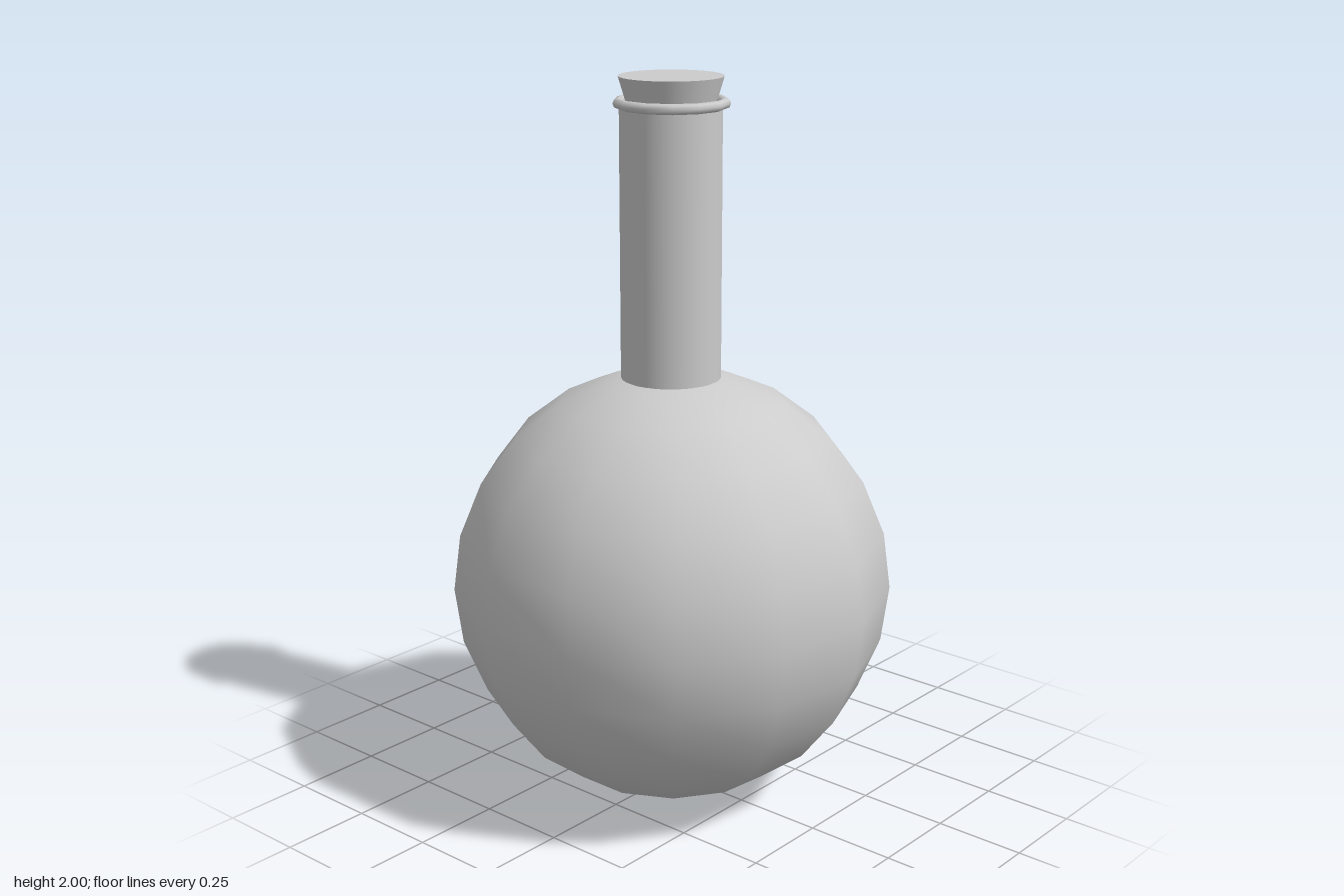
import * as THREE from 'three';

export function createModel() {
  const group = new THREE.Group();
  group.name = 'roundFlask';
  const grey = new THREE.MeshStandardMaterial({ color: 0xcccccc, side: THREE.DoubleSide });

  const add = (name, geometry, x, y, z) => {
    const mesh = new THREE.Mesh(geometry, grey);
    mesh.name = name;
    mesh.position.set(x, y, z);
    group.add(mesh);
  };

  // Round body: thirteen sides with a corner at the back
  add('body', new THREE.SphereGeometry(0.606, 13, 12, -Math.PI / 2), 0, 0.606, 0.009);

  // Open tube neck, sunk slightly into the body
  add('neck', new THREE.CylinderGeometry(0.136, 0.136, 0.75, 32, 1, true), -0.003, 1.555, 0.009);

  // Lip ring around the mouth, with the same thirteen sides
  const lip = new THREE.TorusGeometry(0.141, 0.014, 8, 13);
  lip.rotateZ(-Math.PI / 2).rotateX(Math.PI / 2);
  add('lipRing', lip, -0.002, 1.93, 0.007);

  // Tapered stopper reaching down into the neck
  add('stopper', new THREE.CylinderGeometry(0.139, 0.109, 0.1, 32), -0.002, 1.95, 0.009);

  return group;
}
